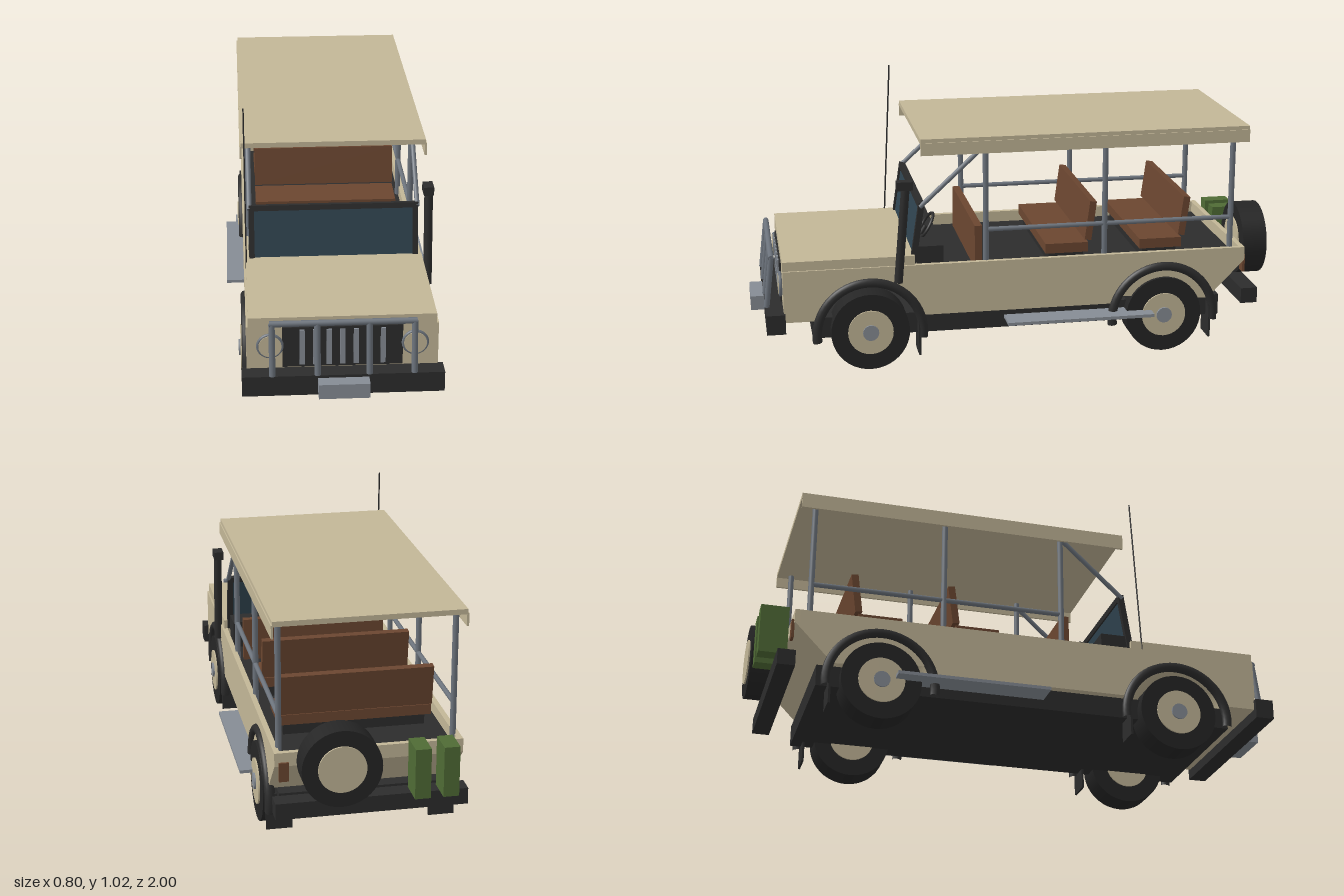
import * as THREE from 'three';

const mat = (name, color) => {
  const m = new THREE.MeshStandardMaterial({ color });
  m.name = name;
  return m;
};

export function createModel() {
  const tan = mat('sand paint', 0xc2b697);
  const black = mat('black plastic', 0x2c2c2c);
  const rubber = mat('tyre rubber', 0x252525);
  const metal = mat('light metal', 0x868c94);
  const pipe = mat('pipe steel', 0x6c737c);
  const brown = mat('seat leather', 0x6b4630);
  const green = mat('can green', 0x4f6b35);
  const glass = mat('tinted glass', 0x304450);
  const root = new THREE.Group();
  root.name = 'safariTruck';

  const add = (name, geo, material, parent = root) => {
    const m = new THREE.Mesh(geo, material);
    m.name = name;
    parent.add(m);
    return m;
  };
  // box from its extents on each axis
  const box = (name, material, x0, x1, y0, y1, z0, z1, parent) => {
    const m = add(name, new THREE.BoxGeometry(x1 - x0, y1 - y0, z1 - z0), material, parent);
    m.position.set((x0 + x1) / 2, (y0 + y1) / 2, (z0 + z1) / 2);
    return m;
  };
  // round bar between two points
  const rod = (name, material, a, b, r, sides = 12) => {
    const p = new THREE.Vector3(...a), q = new THREE.Vector3(...b);
    const d = q.clone().sub(p);
    const m = add(name, new THREE.CylinderGeometry(r, r, d.length(), sides), material);
    m.position.copy(p).add(q).multiplyScalar(0.5);
    m.quaternion.setFromUnitVectors(new THREE.Vector3(0, 1, 0), d.normalize());
    return m;
  };
  // wheel with its axis along local y, outer face at +y
  const wheel = (name, r, w, rim, cap) => {
    const g = new THREE.Group();
    g.name = name;
    const h = w / 2;
    add('tyre', new THREE.CylinderGeometry(r, r, w, 40), rubber, g);
    add('rim', new THREE.CylinderGeometry(rim, rim, w + 0.012, 32), tan, g);
    if (cap) add('hubCap', new THREE.CylinderGeometry(0.03, 0.03, 0.014, 20), metal, g).position.y = h + 0.006;
    root.add(g);
    return g;
  };

  const axles = [-0.56, 0.567];

  // Body: side profile with wheel arches, extruded across the width
  const s = new THREE.Shape();
  const archY = 0.137, archR = 0.187, sill = 0.198;
  const a = Math.asin((sill - archY) / archR);
  s.moveTo(-0.88, sill);
  for (const z of axles) s.absarc(z, archY, archR, Math.PI - a, a, true);
  s.lineTo(0.885, sill);
  s.lineTo(0.885, 0.395);
  s.lineTo(0.385, 0.395);
  s.lineTo(0.385, 0.345);
  s.lineTo(-0.88, 0.345);
  s.closePath();
  const bodyGeo = new THREE.ExtrudeGeometry(s, { depth: 0.67, bevelEnabled: false, curveSegments: 24 });
  bodyGeo.translate(0, 0, -0.335).rotateY(-Math.PI / 2);
  add('body', bodyGeo, tan);
  box('hood', tan, -0.328, 0.328, 0.395, 0.43, 0.395, 0.885);
  box('tailgate', tan, -0.335, 0.335, 0.345, 0.395, -0.88, -0.86);
  box('floor', black, -0.315, 0.315, 0.34, 0.352, -0.86, 0.385);
  box('chassis', black, -0.305, 0.305, 0.12, 0.199, -0.79, 0.78);

  // Bumpers, winch and grille
  box('frontBumper', black, -0.353, 0.353, 0.16, 0.235, 0.88, 0.95);
  box('rearBumper', black, -0.342, 0.342, 0.17, 0.23, -0.935, -0.87);
  box('winch', metal, -0.089, 0.089, 0.17, 0.225, 0.95, 1.0);
  box('grille', black, -0.21, 0.21, 0.24, 0.393, 0.88, 0.891);
  for (let i = -3; i <= 3; i++)
    box('grilleSlat', metal, i * 0.047 - 0.009, i * 0.047 + 0.009, 0.25, 0.385, 0.888, 0.897);

  // Bull bar
  rod('bullBarTop', pipe, [-0.255, 0.425, 0.922], [0.255, 0.425, 0.922], 0.011);
  for (const x of [-0.247, -0.09, 0.09, 0.247])
    rod('bullBarUpright', pipe, [x, 0.235, 0.945], [x, 0.425, 0.922], 0.011);

  // Windscreen, leaning back
  const screen = new THREE.Group();
  screen.name = 'windscreen';
  screen.position.set(0, 0.395, 0.4);
  screen.rotation.x = -0.15;
  root.add(screen);
  for (const k of [-1, 1]) box('screenPost', black, k * 0.304 - 0.01, k * 0.304 + 0.01, 0, 0.232, -0.011, 0.011, screen);
  box('screenTop', black, -0.314, 0.314, 0.214, 0.234, -0.011, 0.011, screen);
  box('screenBase', black, -0.314, 0.314, 0, 0.025, -0.011, 0.011, screen);
  box('glass', glass, -0.296, 0.296, 0.02, 0.216, -0.004, 0.004, screen);

  // Dashboard and steering wheel
  box('dashboard', black, -0.305, 0.305, 0.352, 0.457, 0.285, 0.392);
  const steer = add('steeringWheel', new THREE.TorusGeometry(0.055, 0.006, 8, 28), black);
  steer.position.set(0.14, 0.488, 0.33);
  steer.rotation.x = -0.55;
  rod('steeringColumn', black, [0.14, 0.44, 0.36], [0.14, 0.488, 0.33], 0.008);

  // Seats
  box('frontSeatBack', brown, -0.285, 0.285, 0.352, 0.52, 0.135, 0.163);
  for (const z of [-0.11, -0.477]) {
    box('benchBase', black, -0.26, 0.26, 0.35, 0.396, z - 0.15, z - 0.015);
    box('benchCushion', brown, -0.28, 0.28, 0.394, 0.432, z - 0.165, z);
    const back = box('benchBack', brown, -0.28, 0.28, 0.44, 0.592, z - 0.187, z - 0.161);
    back.rotation.x = -0.13;
  }

  // Roof
  box('roof', tan, -0.338, 0.338, 0.855, 0.874, -0.88, 0.37);

  // Parts on both sides
  for (const k of [-1, 1]) {
    const X = (x0, x1) => (k > 0 ? [x0, x1] : [-x1, -x0]);
    box('roofSkirt', tan, ...X(0.334, 0.342), 0.813, 0.86, -0.88, 0.37);
    box('sideWall', tan, ...X(0.315, 0.335), 0.345, 0.395, -0.86, 0.385);
    box('sideStep', metal, ...X(0.3, 0.402), 0.157, 0.169, -0.51, 0.055);
    box('tailLight', brown, ...X(0.285, 0.32), 0.29, 0.36, -0.888, -0.878);

    // Canopy frame
    for (const z of [0.125, -0.33, -0.825]) rod('canopyPost', pipe, [k * 0.311, 0.36, z], [k * 0.311, 0.857, z], 0.011);
    rod('sideRail', pipe, [k * 0.311, 0.513, 0.125], [k * 0.311, 0.513, -0.825], 0.009);
    rod('canopyBrace', pipe, [k * 0.311, 0.612, 0.372], [k * 0.311, 0.83, 0.135], 0.009);

    // Headlights
    rod('headlight', tan, [k * 0.253, 0.325, 0.88], [k * 0.253, 0.325, 0.9], 0.04, 28);
    add('headlightRing', new THREE.TorusGeometry(0.042, 0.006, 8, 32), pipe).position.set(k * 0.253, 0.325, 0.892);

    // Wheels, flares and mud flaps
    for (const z of axles) {
      const w = wheel('wheel', 0.147, 0.103, 0.085, true);
      w.position.set(k * 0.297, 0.147, z);
      w.rotation.z = -k * Math.PI / 2;
      const arc = Math.PI + 0.24;
      const flare = add('wheelFlare', new THREE.TorusGeometry(0.199, 0.018, 10, 32, arc).rotateZ(-0.12), black);
      flare.rotation.y = Math.PI / 2;
      flare.position.set(k * 0.333, archY, z);
      box('mudFlap', black, ...X(0.25, 0.345), 0.042, 0.18, z - 0.189, z - 0.181);
    }
  }

  // Spare wheel and jerry cans at the back
  const spare = wheel('spareWheel', 0.141, 0.095, 0.085, false);
  spare.position.set(0.12, 0.37, -0.947);
  spare.rotation.x = -Math.PI / 2;
  rod('spareMount', black, [0.12, 0.36, -0.9], [0.12, 0.36, -0.875], 0.03);
  for (const x of [-0.263, -0.162]) {
    box('jerryCan', green, x - 0.028, x + 0.028, 0.235, 0.42, -0.998, -0.895);
  }

  // Snorkel and antenna
  rod('snorkel', black, [0.345, 0.335, 0.46], [0.345, 0.7, 0.428], 0.016);
  box('snorkelHead', black, 0.324, 0.361, 0.69, 0.722, 0.402, 0.462);
  rod('antenna', black, [-0.326, 0.395, 0.44], [-0.326, 1.022, 0.408], 0.003, 6);

  return root;
}
